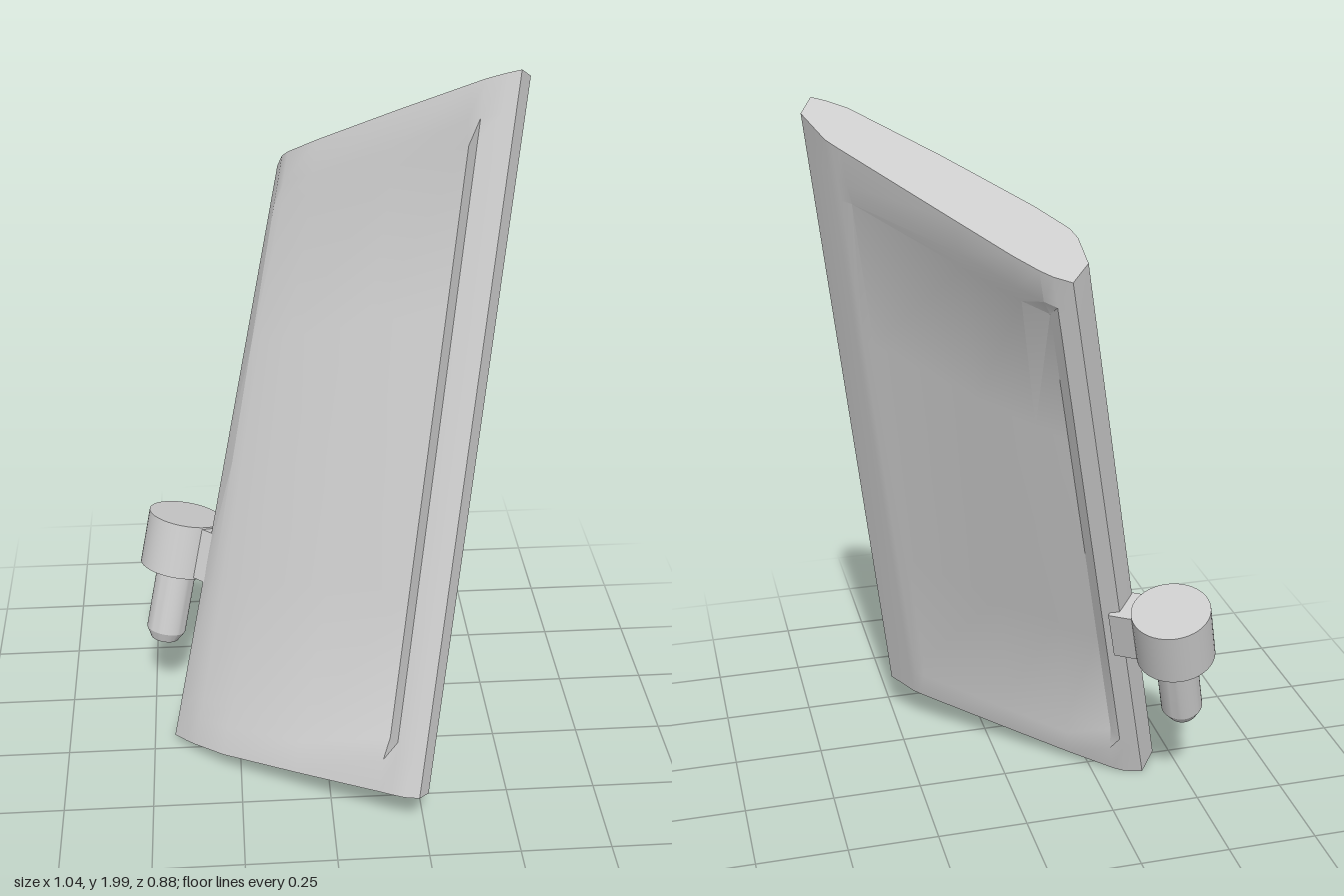
import * as THREE from 'three';
import { toCreasedNormals } from 'three/addons/utils/BufferGeometryUtils.js';

const V = (x, y, z) => new THREE.Vector3(x, y, z);

// Blade outline: [top x, top z, bottom x, bottom z, depth of panel recess], front then back
const SECTION = [
  [-0.10, -0.40, -0.44, -0.03, 0],
  [-0.09, -0.345, -0.405, 0.02, 0],
  [-0.075, -0.325, -0.38, 0.05, 0.008],
  [0.0, -0.28, -0.30, 0.13, 0.012],
  [0.2, -0.18, -0.10, 0.26, 0.016],
  [0.37, -0.102, 0.12, 0.395, 0.025],
  [0.40, -0.088, 0.15, 0.415, 0],
  [0.45, -0.075, 0.185, 0.435, 0],
  [0.485, -0.07, 0.225, 0.44, 0],
  [0.515, -0.11, 0.255, 0.40, 0],
  [0.47, -0.165, 0.20, 0.335, 0],
  [0.455, -0.175, 0.185, 0.322, 0],
  [0.435, -0.187, 0.165, 0.306, -0.01],
  [0.2, -0.325, -0.05, 0.14, -0.016],
  [0.08, -0.395, -0.20, 0.025, -0.02],
  [0.025, -0.423, -0.31, -0.055, -0.025],
  [-0.005, -0.435, -0.34, -0.072, 0],
  [-0.05, -0.445, -0.39, -0.085, 0],
];
const INWARD = V(0.55, -0.3, -0.76).normalize();

// Both ends are slanted planes; the recess fades out near them
function bladeGeometry() {
  const rows = [0, 0.05, 0.08, 0.3, 0.5, 0.7, 0.92, 0.95, 1].map((t) =>
    SECTION.map(([tx, tz, bx, bz, depth]) => {
      const top = V(tx, 1.991 + 0.136 * tx + 0.818 * tz, tz);
      const bottom = V(bx, 0.0057 - 0.081 * bx + 0.381 * bz, bz);
      const d = t > 0.06 && t < 0.94 ? depth : 0;
      return bottom.lerp(top, t).addScaledVector(INWARD, d);
    }));
  const out = [];
  const tri = (...pts) => pts.forEach((p) => out.push(p.x, p.y, p.z));
  const n = SECTION.length;
  for (let r = 0; r < rows.length - 1; r++) {
    for (let i = 0; i < n; i++) {
      const j = (i + 1) % n;
      tri(rows[r][i], rows[r][j], rows[r + 1][j]);
      tri(rows[r][i], rows[r + 1][j], rows[r + 1][i]);
    }
  }
  // End caps
  const centre = (row) => row.reduce((s, p) => s.add(p), V(0, 0, 0)).divideScalar(n);
  const low = rows[0], high = rows[rows.length - 1];
  const lowMid = centre(low), highMid = centre(high);
  for (let i = 0; i < n; i++) {
    const j = (i + 1) % n;
    tri(highMid, high[i], high[j]);
    tri(lowMid, low[j], low[i]);
  }
  const g = new THREE.BufferGeometry();
  g.setAttribute('position', new THREE.Float32BufferAttribute(out, 3));
  return toCreasedNormals(g, 0.5);
}

export function createModel() {
  const model = new THREE.Group();
  const grey = new THREE.MeshStandardMaterial({ color: 0xcccccc });
  grey.name = 'grey';
  const add = (parent, name, geometry) => {
    const mesh = new THREE.Mesh(geometry, grey);
    mesh.name = name;
    parent.add(mesh);
    return mesh;
  };

  add(model, 'blade', bladeGeometry());

  // Hinge, with its own axes: x toward the blade, y along the pin
  const hinge = new THREE.Group();
  hinge.name = 'hinge';
  const up = V(0.2, 0.95, -0.21).normalize();
  const across = V(0.8, 0, 0.6);
  across.addScaledVector(up, -across.dot(up)).normalize();
  const out = across.clone().cross(up);
  hinge.quaternion.setFromRotationMatrix(new THREE.Matrix4().makeBasis(across, up, out));
  hinge.position.set(-0.4, 0.56, -0.265);
  model.add(hinge);

  add(hinge, 'hingeBarrel', new THREE.CylinderGeometry(0.107, 0.107, 0.16, 48));
  add(hinge, 'hingeTab', new THREE.BoxGeometry(0.16, 0.15, 0.1)).position.set(0.08, 0, 0);

  // Pin with a chamfered tip
  const profile = [[0, -0.31], [0.04, -0.31], [0.057, -0.28], [0.057, -0.07]]
    .map(([r, y]) => new THREE.Vector2(r, y));
  add(hinge, 'hingePin', toCreasedNormals(new THREE.LatheGeometry(profile, 40), 0.5));

  return model;
}
